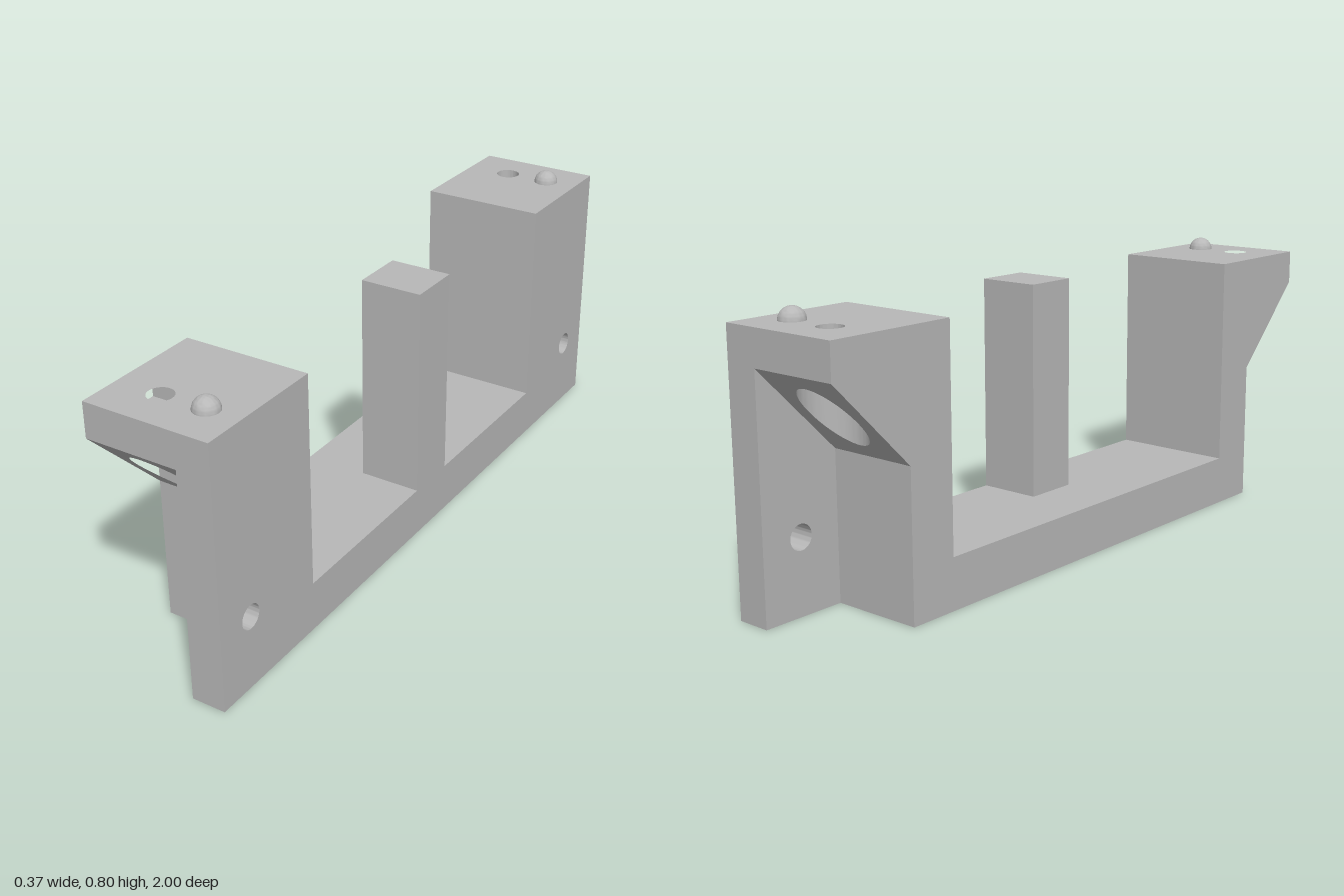
import * as THREE from 'three';
import { toCreasedNormals } from 'three/addons/utils/BufferGeometryUtils.js';

const LEFT = 0.183, RIGHT = -0.183, SPLIT = 0.085; // body / side plate boundary in x
const TOP = 0.76, FLOOR = 0.145, INNER = 0.61;     // block top, tray height, block inner face
const RECESS = 0.755, LEDGE = 0.66;                // recessed end face, underside of overhang
const HOLE_Z = 0.878, HOLE_X = -0.05, HOLE_R = 0.035, BORE_R = 0.085;

const grey = new THREE.MeshStandardMaterial({ color: 0xb8b8b8 });
grey.name = 'grey';

function circle(x, y, r) {
  return new THREE.Path().absarc(x, y, r, 0, Math.PI * 2, true);
}

function polygon(points) {
  return new THREE.Shape(points.map(([x, y]) => new THREE.Vector2(x, y)));
}

function extrude(shape, depth) {
  return new THREE.ExtrudeGeometry(shape, { depth, bevelEnabled: false, curveSegments: 40 });
}

// Side profile in (z, y) swept along x
function sweepX(shape, x0, x1) {
  return extrude(shape, x1 - x0).rotateY(Math.PI / 2).translate(x0, 0, 0);
}

// Rectangular overhang plan with a round hole, raised from y0 to y1
function overhangPlan(side, radius, y0, y1) {
  const a = -side * RECESS, b = -side;
  const shape = polygon([[RIGHT, a], [SPLIT, a], [SPLIT, b], [RIGHT, b]]);
  shape.holes.push(circle(HOLE_X, -side * HOLE_Z, radius));
  return extrude(shape, y1 - y0).rotateX(-Math.PI / 2).translate(0, y0, 0);
}

export function createModel() {
  const model = new THREE.Group();
  model.name = 'bracket';

  function add(name, geometry) {
    const mesh = new THREE.Mesh(toCreasedNormals(geometry, 0.5), grey);
    mesh.name = name;
    model.add(mesh);
  }

  // Side plate: full length, with both blocks, the centre post and cross holes
  const plate = polygon([
    [-1, 0], [1, 0], [1, TOP], [INNER, TOP], [INNER, FLOOR], [0.08, FLOOR], [0.08, TOP],
    [-0.08, TOP], [-0.08, FLOOR], [-INNER, FLOOR], [-INNER, TOP], [-1, TOP],
  ]);
  for (const s of [-1, 1]) plate.holes.push(circle(s * HOLE_Z, 0.21, HOLE_R));
  add('sidePlate', sweepX(plate, SPLIT, LEFT));

  // Main body: U-shaped tray with recessed ends
  add('body', sweepX(polygon([
    [-RECESS, 0], [RECESS, 0], [RECESS, TOP], [INNER, TOP], [INNER, FLOOR],
    [-INNER, FLOOR], [-INNER, TOP], [-RECESS, TOP],
  ]), RIGHT, SPLIT));

  // Inner part of the centre post
  add('centrePost', new THREE.BoxGeometry(SPLIT, TOP - FLOOR, 0.16)
    .translate(SPLIT / 2, (TOP + FLOOR) / 2, 0));

  for (const s of [-1, 1]) {
    const end = s > 0 ? 'front' : 'back';

    // Overhanging top slab with the small vertical hole
    add(end + 'Overhang', overhangPlan(s, HOLE_R, LEDGE, TOP));

    // Sloped 45 degree support with the wide counterbore
    const wedge = overhangPlan(s, BORE_R, 0, LEDGE);
    const p = wedge.attributes.position;
    for (let i = 0; i < p.count; i++) {
      if (p.getY(i) < 0.1) p.setY(i, LEDGE - (1 - Math.abs(p.getZ(i))));
    }
    add(end + 'SlopedSupport', wedge);

    // Locating dome on top
    add(end + 'Dome', new THREE.SphereGeometry(0.036, 32, 12, 0, Math.PI * 2, 0, Math.PI / 2)
      .translate(SPLIT, TOP, s * HOLE_Z));
  }
  return model;
}
